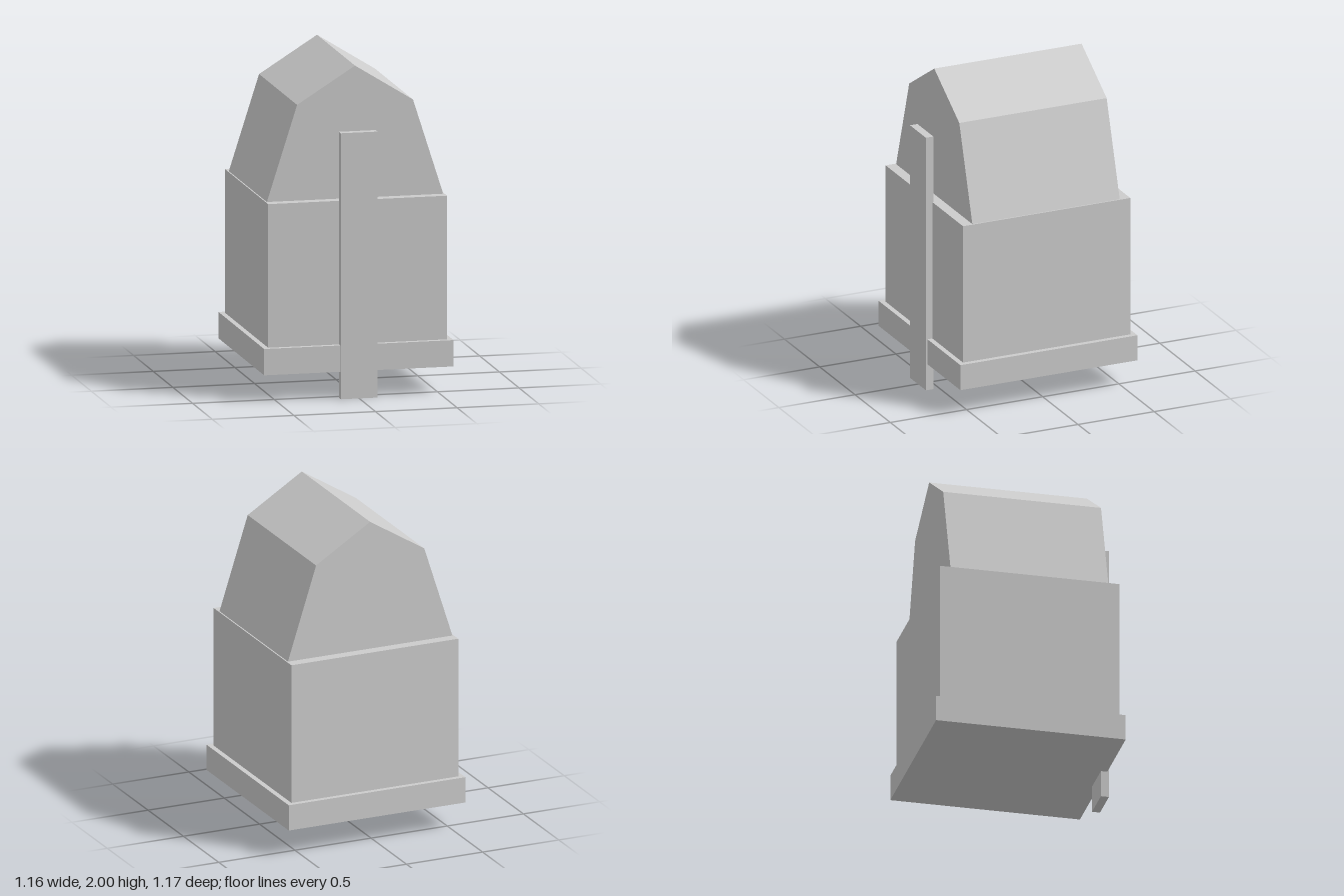
import * as THREE from 'three';

export function createModel() {
  const model = new THREE.Group();
  const grey = new THREE.MeshStandardMaterial({ color: 0xcccccc });
  grey.name = 'plain grey';

  const add = (name, geometry) => {
    const mesh = new THREE.Mesh(geometry, grey);
    mesh.name = name;
    model.add(mesh);
    return mesh;
  };

  // Box given by its width and its y and z extents, centred on x
  const block = (name, width, y0, y1, z0, z1) =>
    add(name, new THREE.BoxGeometry(width, y1 - y0, z1 - z0))
      .position.set(0, (y0 + y1) / 2, (z0 + z1) / 2);

  block('basePlinth', 1.16, 0.165, 0.325, -0.585, 0.577);
  block('walls', 1.096, 0.325, 1.197, -0.553, 0.545);
  block('frontPlank', 0.226, 0, 1.615, 0.538, 0.587);

  // Gambrel roof: five-sided gable extruded from back to front
  const gable = new THREE.Shape([
    [-0.54, 1.197], [0.54, 1.197], [0.355, 1.778], [0, 2], [-0.355, 1.778],
  ].map(([x, y]) => new THREE.Vector2(x, y)));
  const roof = new THREE.ExtrudeGeometry(gable, { depth: 0.967, bevelEnabled: false });
  add('gambrelRoof', roof).position.z = -0.487;

  return model;
}
